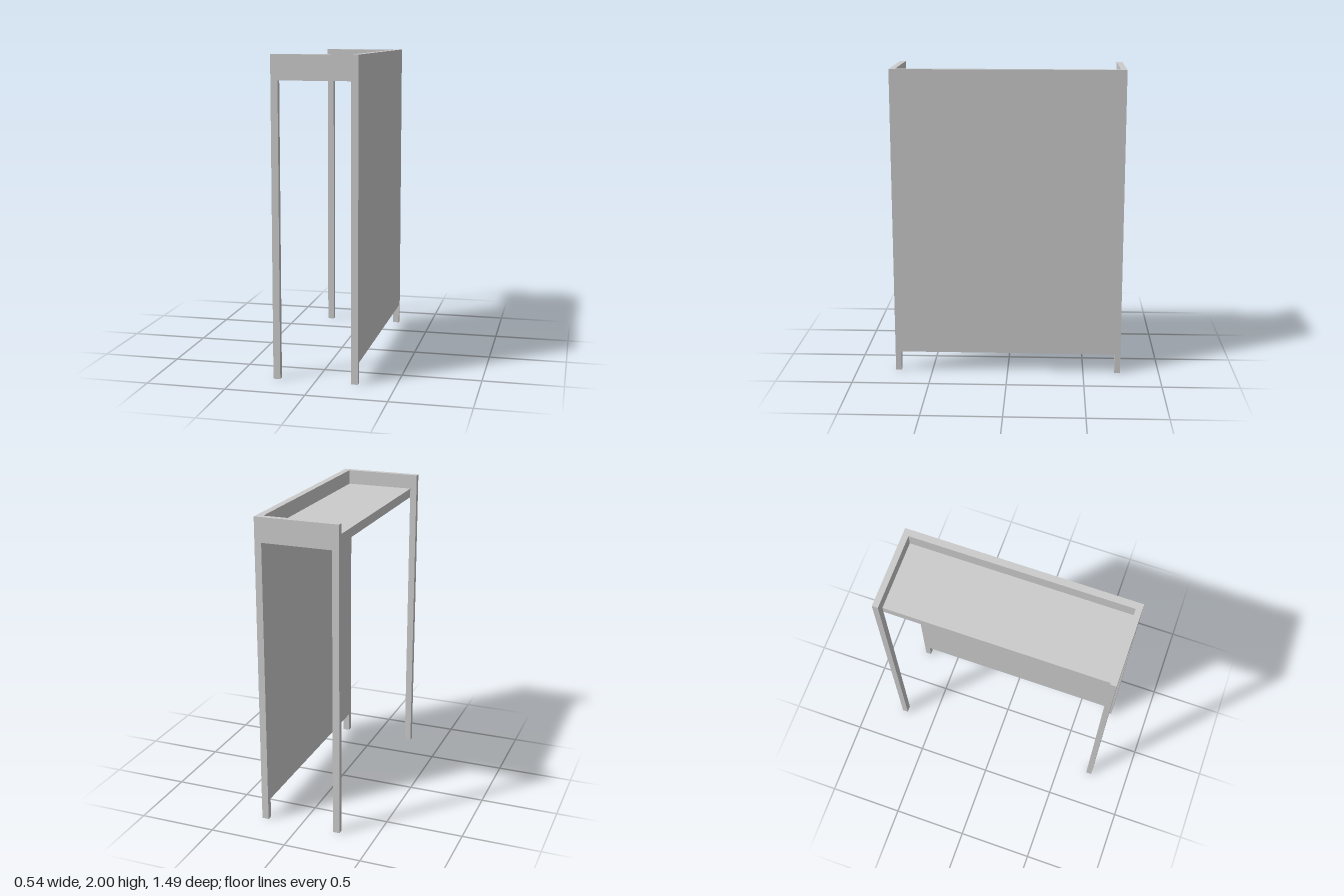
import * as THREE from 'three';

const W = 0.268, H = 2, D = 0.745;   // half width, height, half depth
const T = 0.044, TZ = 0.038;         // post thickness along x and z
const RAIL_Y = 1.845;                // underside of the end rails and shelf
const PANEL_Y = 0.13;                // underside of the side panel

export function createModel() {
  const group = new THREE.Group();
  const material = new THREE.MeshStandardMaterial({ color: 0xcccccc, flatShading: true });

  const add = (name, geometry) => {
    const mesh = new THREE.Mesh(geometry, material);
    mesh.name = name;
    group.add(mesh);
    return mesh;
  };
  const box = (name, x0, x1, y0, y1, z0, z1) =>
    add(name, new THREE.BoxGeometry(x1 - x0, y1 - y0, z1 - z0))
      .position.set((x0 + x1) / 2, (y0 + y1) / 2, (z0 + z1) / 2);

  // End frames: two legs joined by a deep top rail
  const i = W - T;
  const outline = new THREE.Shape([
    [-W, 0], [-i, 0], [-i, RAIL_Y], [i, RAIL_Y], [i, 0], [W, 0], [W, H], [-W, H],
  ].map(([x, y]) => new THREE.Vector2(x, y)));
  const frame = new THREE.ExtrudeGeometry(outline, { depth: TZ, bevelEnabled: false });
  add('frontFrame', frame).position.z = D - TZ;
  add('backFrame', frame).position.z = -D;

  // Closed side, flush with the legs
  const inner = D - TZ;
  box('sidePanel', i, W, PANEL_Y, H, -inner, inner);

  // Shelf recessed below the rim, open along the other side
  box('topShelf', -i, i, RAIL_Y, 1.905, -inner, inner);

  return group;
}
